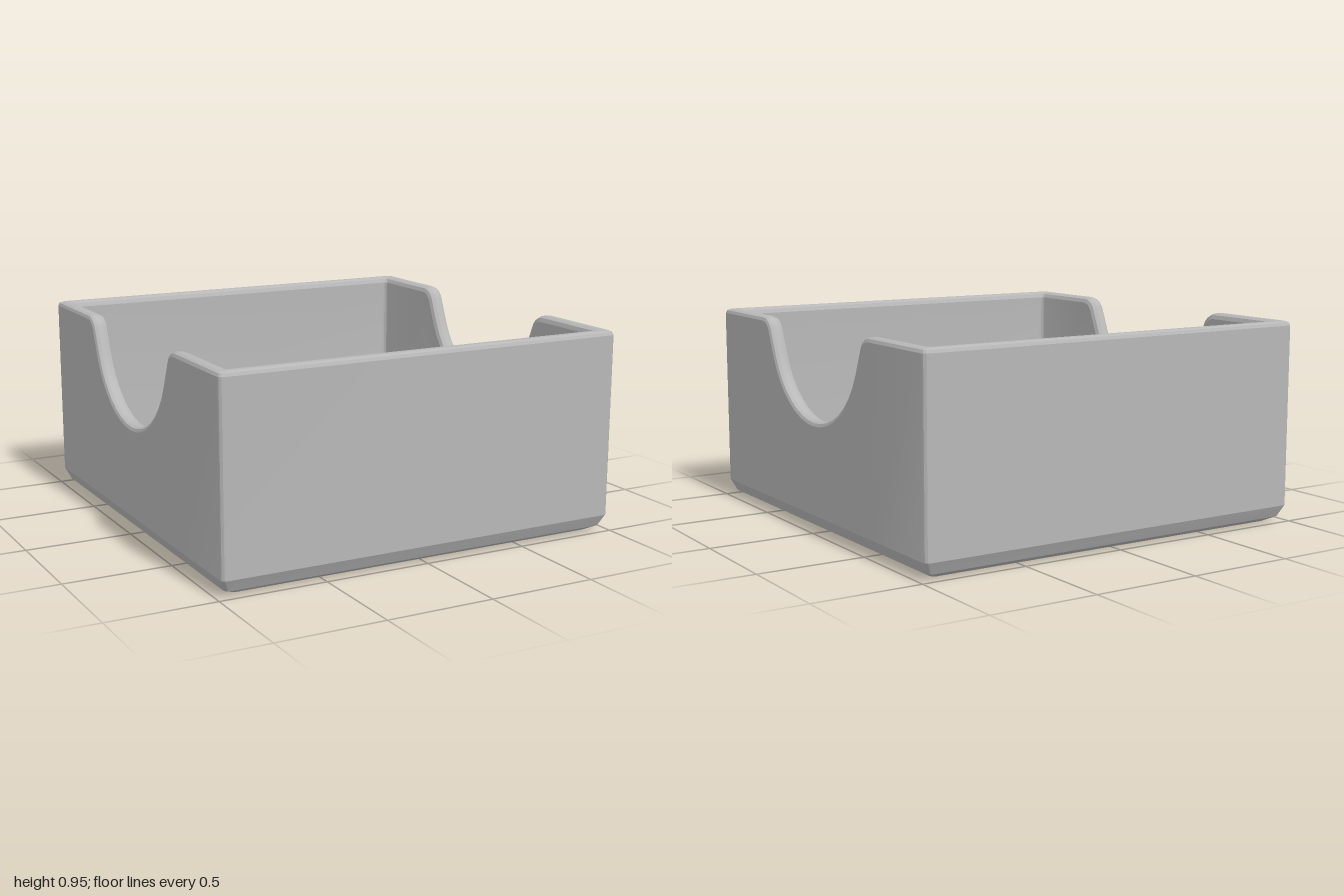
import * as THREE from 'three';
import { toCreasedNormals } from 'three/addons/utils/BufferGeometryUtils.js';

const HALF_X = 0.985, HALF_Z = 1, HEIGHT = 0.95, CORNER = 0.025;

// Half of the scoop outline, from its lowest point outward: z, y and the edge normal
function scoopHalf() {
  const r = 0.434, cy = 0.949, R = 0.09, end = 1.17;
  const pts = [];
  for (let i = 0; i <= 8; i++) {
    const a = (end * i) / 8;
    pts.push({ z: r * Math.sin(a), y: cy - r * Math.cos(a), nz: -Math.sin(a), ny: Math.cos(a) });
  }
  // straight flank, then the rounded shoulder up to the rim
  const last = pts[8];
  const startY = HEIGHT - R + R * Math.cos(end);
  const centreZ = last.z + (startY - last.y) / Math.tan(end) + R * Math.sin(end);
  for (let i = 0; i <= 5; i++) {
    const a = end * (1 - i / 5);
    pts.push({ z: centreZ - R * Math.sin(a), y: HEIGHT - R + R * Math.cos(a), nz: -Math.sin(a), ny: Math.cos(a) });
  }
  return pts;
}

// Stations around the box: rounded corners plus the scoop points on both side walls
function makeStations() {
  const half = scoopHalf();
  const scoop = [
    ...half.slice(1).reverse().map((p) => ({ ...p, z: -p.z, nz: -p.nz })),
    ...half,
  ];
  const stations = [];
  const corner = (sx, sz, start) => {
    for (let i = 0; i <= 3; i++) {
      const a = start + (i * Math.PI) / 6;
      stations.push({ sx, sz, cos: Math.cos(a), sin: Math.sin(a), y: HEIGHT, nz: 0, ny: 1 });
    }
  };
  corner(1, 1, 0);
  corner(-1, 1, Math.PI / 2);
  for (const p of [...scoop].reverse()) stations.push({ ...p, side: -1 });
  corner(-1, -1, Math.PI);
  corner(1, -1, Math.PI * 1.5);
  for (const p of scoop) stations.push({ ...p, side: 1 });
  return stations;
}

// Wall section: inset from the outside, with a fixed height (y) or a drop below the rim
const SECTION = [
  { d: 0.07, y: 0 }, { d: 0.025, y: 0.025 }, { d: 0, y: 0.08 },
  { d: 0, drop: 0.02 }, { d: 0.006, drop: 0.006 }, { d: 0.02, drop: 0 },
  { d: 0.048, drop: 0 }, { d: 0.067, drop: 0.008 }, { d: 0.075, drop: 0.027 },
  { d: 0.075, y: 0.09 }, { d: 0.08, y: 0.075 }, { d: 0.095, y: 0.07 },
];

function sectionPoint(s, { d, y, drop }) {
  const off = drop ?? 0.02;
  const py = y ?? s.y - s.ny * off;
  if (s.side) return [s.side * (HALF_X - d), py, s.z - s.nz * off];
  return [
    s.sx * (HALF_X - d - CORNER) + CORNER * s.cos, py,
    s.sz * (HALF_Z - d - CORNER) + CORNER * s.sin,
  ];
}

function trayGeometry() {
  const stations = makeStations();
  const n = stations.length, m = SECTION.length;
  const positions = [], index = [];
  for (const s of stations) for (const k of SECTION) positions.push(...sectionPoint(s, k));
  // centres that close the underside and the inner floor
  positions.push(0, SECTION[0].y, 0, 0, SECTION[m - 1].y, 0);
  const under = n * m, floor = under + 1;
  for (let i = 0; i < n; i++) {
    const a = i * m, b = ((i + 1) % n) * m;
    for (let j = 0; j < m - 1; j++) {
      index.push(a + j, a + j + 1, b + j, a + j + 1, b + j + 1, b + j);
    }
    index.push(under, a, b, floor, b + m - 1, a + m - 1);
  }
  const geometry = new THREE.BufferGeometry();
  geometry.setAttribute('position', new THREE.Float32BufferAttribute(positions, 3));
  geometry.setIndex(index);
  return toCreasedNormals(geometry, 0.35);
}

export function createModel() {
  const grey = new THREE.MeshStandardMaterial({ color: 0xb8b8b8 });
  grey.name = 'grey';
  const group = new THREE.Group();
  group.name = 'openTray';
  const tray = new THREE.Mesh(trayGeometry(), grey);
  tray.name = 'scoopedTray';
  group.add(tray);
  return group;
}
